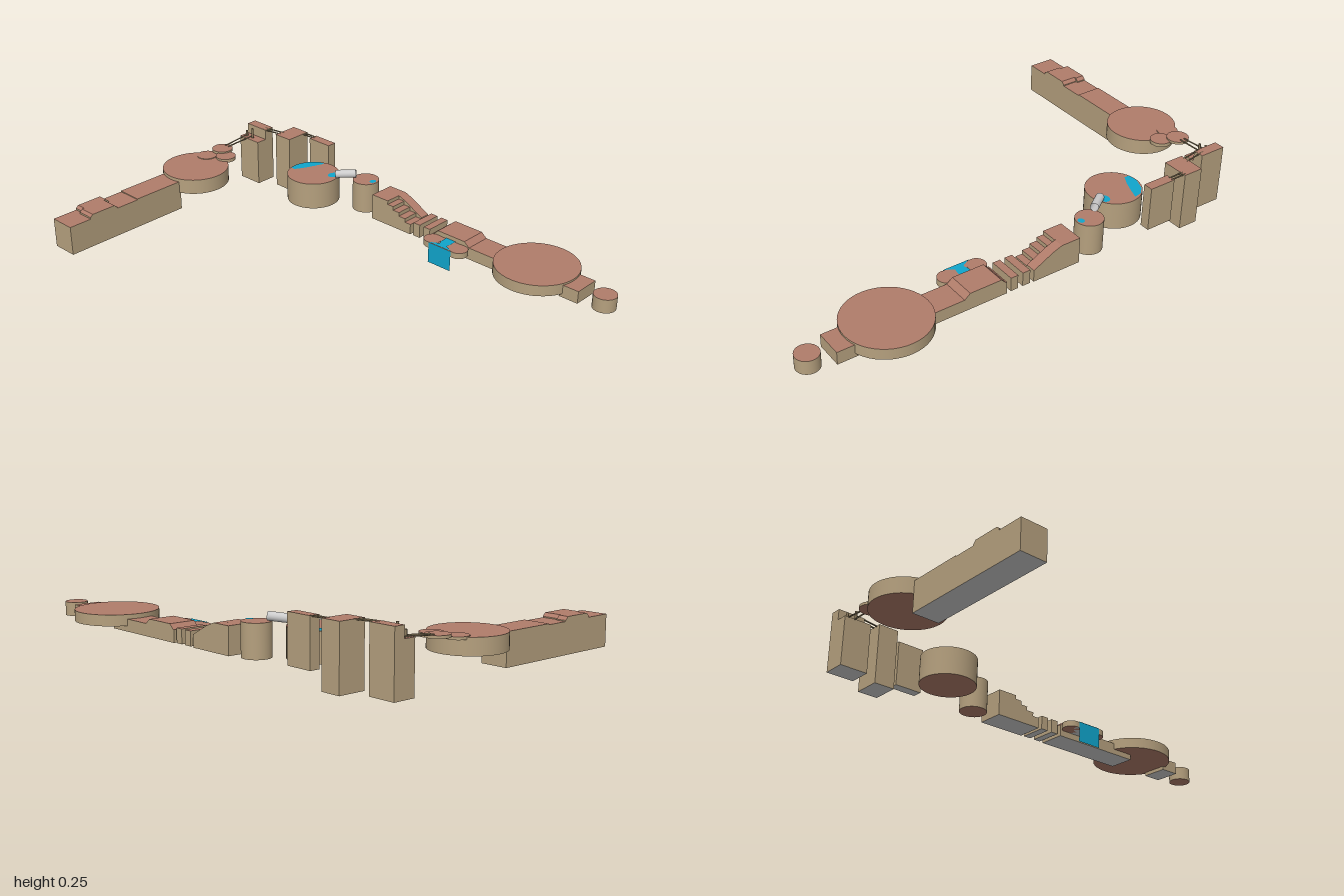
import * as THREE from 'three';

const mat = (color, side = THREE.FrontSide) =>
  new THREE.MeshStandardMaterial({ color, side });

export function createModel() {
  const model = new THREE.Group();
  const ground = mat(0xb07c6a), rock = mat(0xb5a07e), grey = mat(0xcccccc);
  const water = mat(0x10a5cc, THREE.DoubleSide);
  const rope = mat(0x8a7a5c), pipe = mat(0xcccccc, THREE.DoubleSide);

  // Terrain mesh: reddish tops, tan sides, chosen by the slope of each face
  function terrain(name, source, bottom = grey) {
    const geo = source.index ? source.toNonIndexed() : source;
    geo.clearGroups();
    const n = geo.attributes.normal;
    for (let i = 0; i < n.count; i += 3) {
      const ny = (n.getY(i) + n.getY(i + 1) + n.getY(i + 2)) / 3;
      geo.addGroup(i, 3, ny > 0.3 ? 0 : ny < -0.5 ? 2 : 1);
    }
    const mesh = new THREE.Mesh(geo, [ground, rock, bottom]);
    mesh.name = name;
    model.add(mesh);
    return mesh;
  }

  function block(name, x0, x1, y0, y1, z0, z1) {
    const geo = new THREE.BoxGeometry(x1 - x0, y1 - y0, z1 - z0);
    geo.translate((x0 + x1) / 2, (y0 + y1) / 2, (z0 + z1) / 2);
    return terrain(name, geo);
  }

  function disc(name, x, z, r, y0, y1) {
    const geo = new THREE.CylinderGeometry(r, r, y1 - y0, 48);
    geo.translate(x, (y0 + y1) / 2, z);
    return terrain(name, geo, ground);
  }

  const shapeOf = pts => new THREE.Shape(pts.map(p => new THREE.Vector2(...p)));

  // Side profile in x and y, extruded from z0 to z1
  function prismX(name, pts, z0, z1) {
    const geo = new THREE.ExtrudeGeometry(shapeOf(pts), { depth: z1 - z0, bevelEnabled: false });
    geo.translate(0, 0, z0);
    return terrain(name, geo);
  }

  // Side profile in -z and y, extruded from x0 to x1
  function prismZ(name, pts, x0, x1) {
    const geo = new THREE.ExtrudeGeometry(shapeOf(pts), { depth: x1 - x0, bevelEnabled: false });
    geo.rotateY(Math.PI / 2);
    geo.translate(x0, 0, 0);
    return terrain(name, geo);
  }

  // Straight rod between two points
  function rod(name, a, b, r, material, open = false) {
    const p = new THREE.Vector3(...a), q = new THREE.Vector3(...b);
    const d = q.clone().sub(p);
    const geo = new THREE.CylinderGeometry(r, r, d.length(), open ? 24 : 8, 1, open);
    const mesh = new THREE.Mesh(geo, material);
    mesh.position.copy(p).add(q).multiplyScalar(0.5);
    mesh.quaternion.setFromUnitVectors(new THREE.Vector3(0, 1, 0), d.normalize());
    mesh.name = name;
    model.add(mesh);
  }

  // Flat pool: outline in x and z, laid just above the ground
  function pool(name, pts, y) {
    const geo = new THREE.ShapeGeometry(shapeOf(pts.map(([x, z]) => [x, -z])));
    geo.rotateX(-Math.PI / 2);
    const mesh = new THREE.Mesh(geo, water);
    mesh.position.y = y;
    mesh.name = name;
    model.add(mesh);
  }

  // Long starting path with a low two-part hump
  block('startPathFront', -0.925, -0.815, 0.035, 0.158, 0.3, 0.64);
  block('startPathRear', -0.925, -0.815, 0.035, 0.162, 0.07, 0.3);
  for (const [x0, x1, shift] of [[-0.925, -0.885, 0], [-0.885, -0.815, 0.01]]) {
    prismZ('pathHump', [[-0.53 - shift, 0.15], [-0.395 - shift, 0.15], [-0.395 - shift, 0.162],
      [-0.408 - shift, 0.175], [-0.518 - shift, 0.175], [-0.53 - shift, 0.165]], x0, x1);
  }

  // Round plaza and its small stepping discs
  disc('roundPlaza', -0.86, -0.057, 0.141, 0.112, 0.176);
  disc('steppingDisc', -0.908, -0.165, 0.043, 0.168, 0.179);
  disc('steppingDisc', -0.833, -0.208, 0.043, 0.17, 0.185);
  disc('steppingDisc', -0.893, -0.243, 0.045, 0.18, 0.191);

  // Tall pillars
  block('firstPillarLedge', -0.92, -0.807, 0, 0.2, -0.425, -0.377);
  block('firstPillar', -0.92, -0.807, 0, 0.245, -0.47, -0.425);
  block('secondPillar', -0.74, -0.655, 0, 0.245, -0.538, -0.425);
  block('thirdPillar', -0.6, -0.485, 0.06, 0.245, -0.538, -0.497);

  // Rope crossings between the pillars
  for (const s of [-1, 1]) {
    rod('ropeCrossing', [-0.893 + s * 0.009, 0.192, -0.27], [-0.89 + s * 0.014, 0.202, -0.41], 0.003, rope);
    rod('ropePost', [-0.88 + s * 0.018, 0.2, -0.398], [-0.88 + s * 0.018, s > 0 ? 0.245 : 0.225, -0.398], 0.005, rope);
    rod('ropeCrossing', [-0.83, 0.243, -0.437 + s * 0.01], [-0.73, 0.243, -0.455 + s * 0.01], 0.003, rope);
    rod('ropeCrossing', [-0.665, 0.243, -0.52 + s * 0.007], [-0.59, 0.243, -0.522 + s * 0.007], 0.003, rope);
  }

  // Round towers joined by an open pipe
  disc('wideTower', -0.45, -0.366, 0.112, 0.058, 0.172);
  disc('narrowTower', -0.243, -0.473, 0.056, 0.043, 0.174);
  rod('pipe', [-0.352, 0.187, -0.402], [-0.282, 0.194, -0.453], 0.017, pipe, true);
  const oval = (x, z, rx, rz) => Array.from({ length: 24 }, (_, i) => {
    const a = i / 24 * Math.PI * 2;
    return [x + rx * Math.cos(a), z + rz * Math.sin(a)];
  });
  pool('sidePool', [[-0.555, -0.335], [-0.557, -0.38], [-0.537, -0.43], [-0.51, -0.456],
    [-0.477, -0.463], [-0.49, -0.425], [-0.51, -0.375], [-0.532, -0.335]], 0.174);
  pool('pipePool', oval(-0.372, -0.406, 0.02, 0.024), 0.174);
  pool('towerPool', oval(-0.204, -0.473, 0.013, 0.015), 0.176);

  // Stairway with a sloping bank behind it
  prismX('stairBank', [[-0.155, 0.04], [0.055, 0.04], [0.055, 0.09], [-0.03, 0.135], [-0.07, 0.15], [-0.155, 0.15]],
    -0.53, -0.487);
  const steps = [[-0.155, 0.04], [0.055, 0.04], [0.055, 0.085]];
  [0.025, -0.008, -0.04, -0.07].forEach((x, i) => {
    const y = 0.085 + i * 0.0163;
    steps.push([x, y], [x, y + 0.0163]);
  });
  steps.push([-0.155, 0.15]);
  prismX('stairs', steps, -0.487, -0.417);

  // Stepping slabs
  block('steppingSlab', 0.072, 0.105, 0.042, 0.1, -0.53, -0.417);
  block('steppingSlab', 0.126, 0.158, 0.042, 0.1, -0.53, -0.417);

  // Causeway and its raised middle
  block('causeway', 0.175, 0.585, 0.04, 0.09, -0.53, -0.417);
  prismX('causewayRise', [[0.175, 0.085], [0.365, 0.085], [0.335, 0.11], [0.2, 0.11]], -0.53, -0.417);

  // Side terrace, stream and waterfall
  for (const x of [0.205, 0.335]) disc('terraceEnd', x, -0.382, 0.038, 0.066, 0.091);
  block('terrace', 0.205, 0.335, 0.066, 0.09, -0.425, -0.345);
  pool('stream', [[0.245, -0.417], [0.245, -0.385], [0.252, -0.365], [0.215, -0.344], [0.325, -0.344],
    [0.288, -0.365], [0.292, -0.385], [0.292, -0.417]], 0.093);
  const fall = new THREE.Mesh(new THREE.PlaneGeometry(0.112, 0.088), water);
  fall.position.set(0.27, 0.047, -0.342);
  fall.name = 'waterfall';
  model.add(fall);

  // Large arena, exit block and final platform
  disc('arena', 0.645, -0.473, 0.169, 0.063, 0.108);
  block('exitBlock', 0.79, 0.873, 0.048, 0.1, -0.53, -0.417);
  disc('finalPlatform', 0.954, -0.473, 0.046, 0.043, 0.1);

  return model;
}
